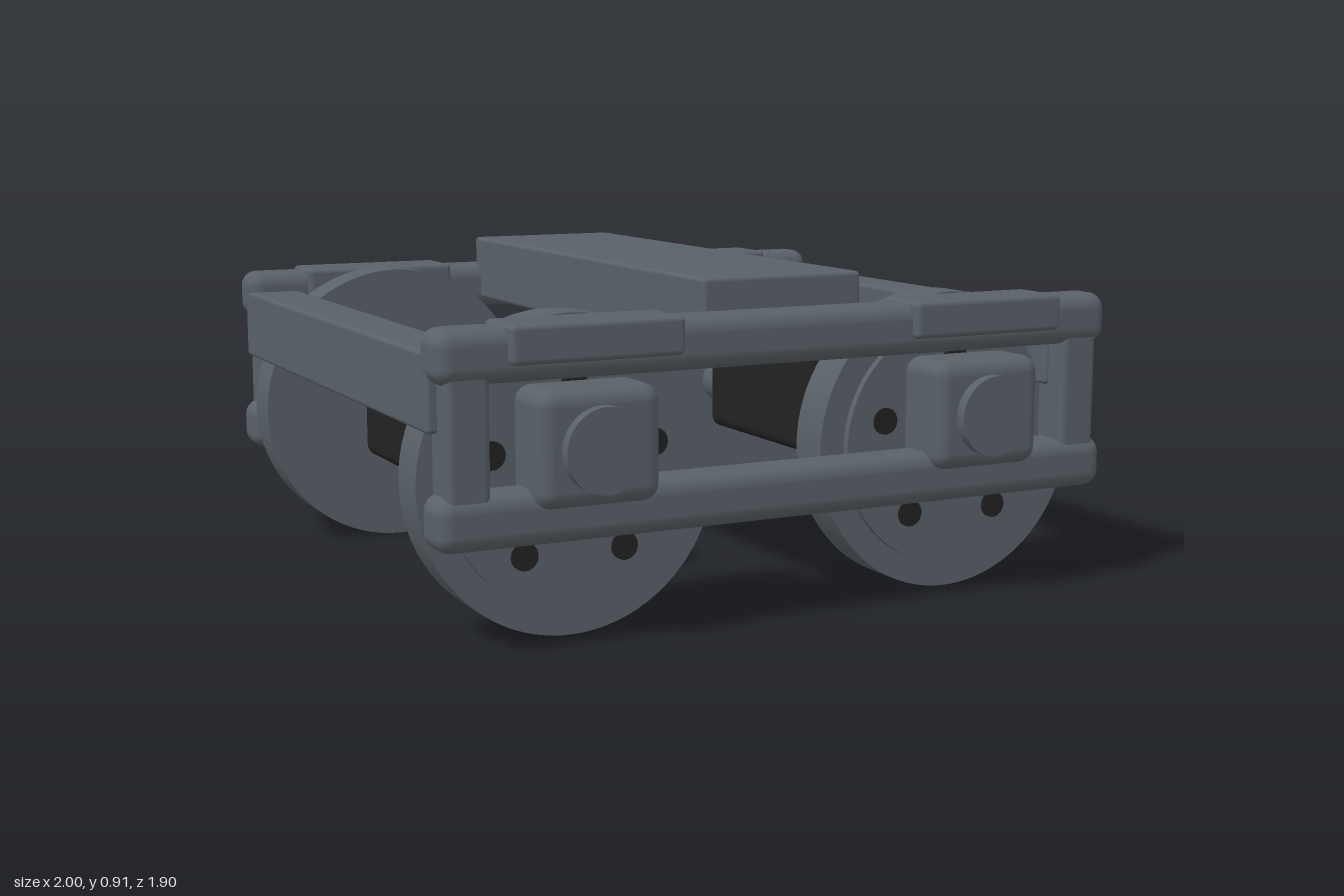
import * as THREE from 'three';
import { RoundedBoxGeometry } from 'three/addons/geometries/RoundedBoxGeometry.js';

const steel = new THREE.MeshStandardMaterial({ color: 0x596167 });
steel.name = 'steel grey';
const black = new THREE.MeshStandardMaterial({ color: 0x222222 });
black.name = 'black';

const AXLE_X = 0.58;
const AXLE_Y = 0.42;

export function createModel() {
  const model = new THREE.Group();
  model.name = 'railBogie';

  const add = (name, geometry, material, x, y, z) => {
    const mesh = new THREE.Mesh(geometry, material);
    mesh.name = name;
    mesh.position.set(x, y, z);
    model.add(mesh);
    return mesh;
  };

  // Rounded box given by its minimum and maximum corners
  const box = (name, min, max, radius, material = steel) => {
    const size = max.map((v, i) => v - min[i]);
    const mid = max.map((v, i) => (v + min[i]) / 2);
    return add(name, new RoundedBoxGeometry(...size, 4, radius), material, ...mid);
  };

  // Cylinder lying along z between two depths
  const disc = (name, radius, x, y, z0, z1, material = steel, sides = 64) => {
    const geometry = new THREE.CylinderGeometry(radius, radius, Math.abs(z1 - z0), sides);
    geometry.rotateX(Math.PI / 2);
    return add(name, geometry, material, x, y, (z0 + z1) / 2);
  };

  // Box on either side, mirrored in z
  const sideBox = (name, s, x0, x1, y0, y1, z0, z1, radius) =>
    box(name, [x0, y0, Math.min(s * z0, s * z1)], [x1, y1, Math.max(s * z0, s * z1)], radius);

  // Cross bolster
  box('bolster', [-0.237, 0.72, -0.795], [0.237, 0.915, 0.795], 0.012);

  // Side frames
  for (const s of [-1, 1]) {
    sideBox('upperRail', s, -1, 1, 0.69, 0.83, 0.747, 0.885, 0.045);
    sideBox('lowerRail', s, -1, 1, 0.28, 0.422, 0.747, 0.885, 0.045);
    for (const e of [-1, 1]) {
      sideBox('framePost', s, e * 0.913 - 0.058, e * 0.913 + 0.058, 0.34, 0.76, 0.757, 0.875, 0.02);
    }
  }

  for (const e of [-1, 1]) {
    const x = e * AXLE_X;

    // End beam
    box('endBeam', [e * 0.921 - 0.077, 0.57, -0.81], [e * 0.921 + 0.077, 0.77, 0.81], 0.012);

    // Axle with its motor
    disc('axle', 0.077, x, AXLE_Y, -0.7, 0.7, steel, 40);
    box('motor', [x - 0.207, 0.32, -0.312], [x + 0.207, 0.67, 0.312], 0.035, black);

    for (const s of [-1, 1]) {
      // Wheel with raised web and five bolts
      disc('wheel', 0.418, x, AXLE_Y, s * 0.597, s * 0.724, steel, 80);
      disc('wheelWeb', 0.345, x, AXLE_Y, s * 0.71, s * 0.745, steel, 72);
      for (let i = 0; i < 5; i++) {
        const a = Math.PI / 2 + (i * Math.PI * 2) / 5;
        disc('wheelBolt', 0.037, x + 0.238 * Math.cos(a), AXLE_Y + 0.238 * Math.sin(a),
          s * 0.735, s * 0.752, black, 24);
      }

      // Axle box, its round cap and the pad on the rail above
      sideBox('axleBox', s, x - 0.17, x + 0.17, 0.373, 0.672, 0.73, 0.918, 0.045);
      disc('axleCap', 0.11, x, 0.52, s * 0.88, s * 0.95, steel, 48);
      sideBox('springPad', s, x - 0.235, x + 0.235, 0.737, 0.836, 0.73, 0.91, 0.014);
    }
  }
  return model;
}
